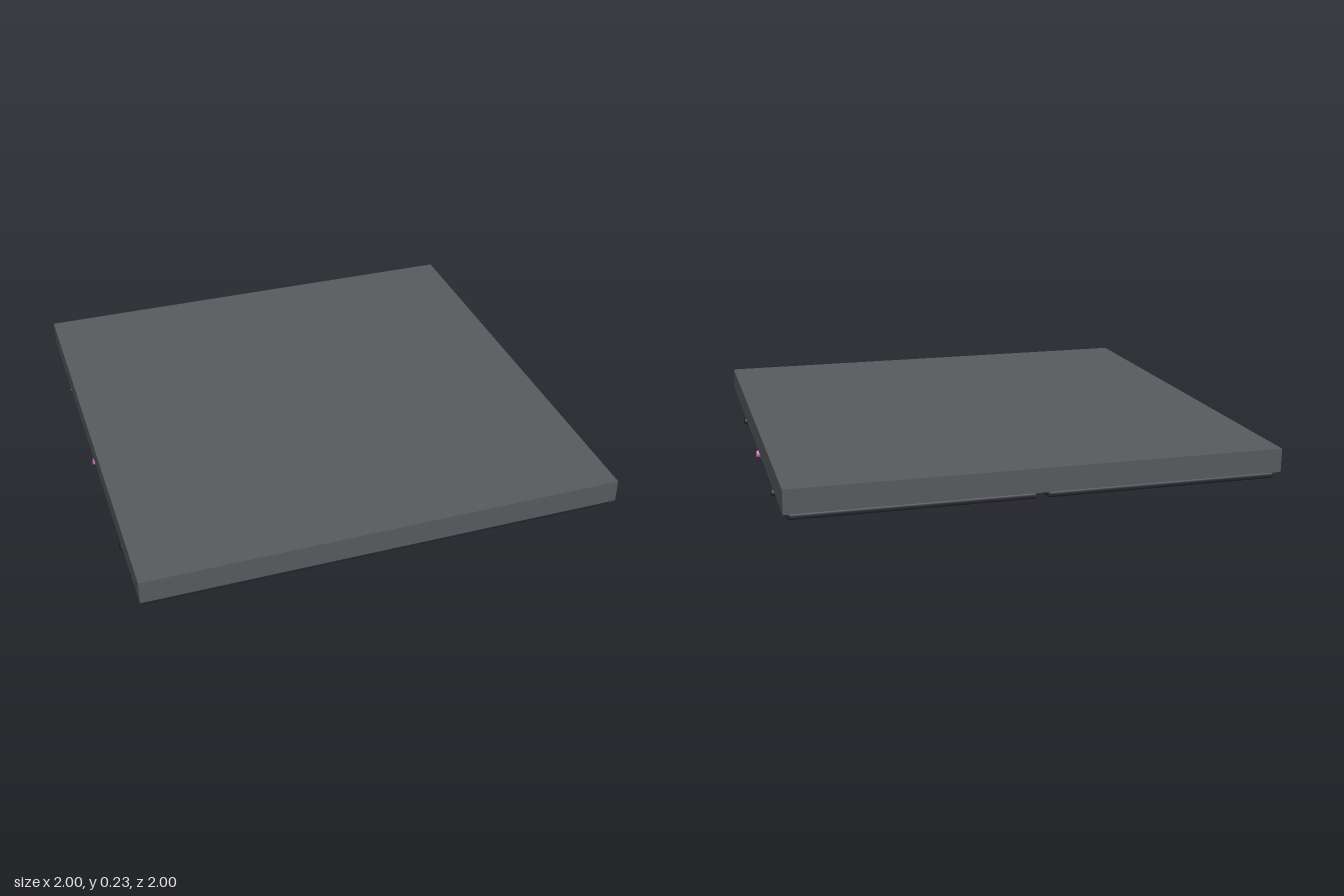
import * as THREE from 'three';
import { RoundedBoxGeometry } from 'three/addons/geometries/RoundedBoxGeometry.js';

const material = (name, color) => {
  const m = new THREE.MeshStandardMaterial({ color });
  m.name = name;
  return m;
};

export function createModel() {
  const grey = material('slate grey', 0x565b5d);
  const dark = material('dark charcoal', 0x2a2933);
  const pink = material('orchid pink', 0xd67ac8);
  const group = new THREE.Group();

  const add = (name, geometry, mat, x = 0, y = 0, z = 0) => {
    const mesh = new THREE.Mesh(geometry, mat);
    mesh.name = name;
    mesh.position.set(x, y, z);
    group.add(mesh);
    return mesh;
  };

  // Main slab
  add('slab', new THREE.BoxGeometry(1.996, 0.098, 1.996), grey, 0, 0.189, 0);

  // Four thin tiles with rounded rims, hung below the slab
  const tile = new RoundedBoxGeometry(0.966, 0.03, 0.966, 4, 0.0149);
  for (const x of [-0.5, 0.5]) {
    for (const z of [-0.5, 0.5]) add('underTile', tile, dark, x, 0.124, z);
  }

  // Round hub in the middle of the underside
  add('hub', new THREE.CylinderGeometry(0.147, 0.147, 0.05, 32), pink, 0, 0.09, 0);

  // Sagging cables running from side to side, with closed ends
  const radius = 0.014;
  const cable = (name, zRight, zLeft, mat) => {
    const curve = new THREE.QuadraticBezierCurve3(
      new THREE.Vector3(-0.998, 0.099, zRight),
      new THREE.Vector3(0, -0.065, (zRight + zLeft) / 2),
      new THREE.Vector3(0.998, 0.099, zLeft)
    );
    add(name, new THREE.TubeGeometry(curve, 32, radius, 10), mat);
    for (const t of [0, 1]) {
      const p = curve.getPoint(t);
      const outward = curve.getTangent(t).multiplyScalar(t ? 1 : -1);
      const cap = add(name + 'End', new THREE.CircleGeometry(radius, 10), mat, p.x, p.y, p.z);
      cap.quaternion.setFromUnitVectors(new THREE.Vector3(0, 0, 1), outward);
    }
  };
  cable('frontCable', 0.6, 0.5, dark);
  cable('middleCable', 0, -0.05, pink);
  cable('backCable', -0.6, -0.6, dark);

  return group;
}
